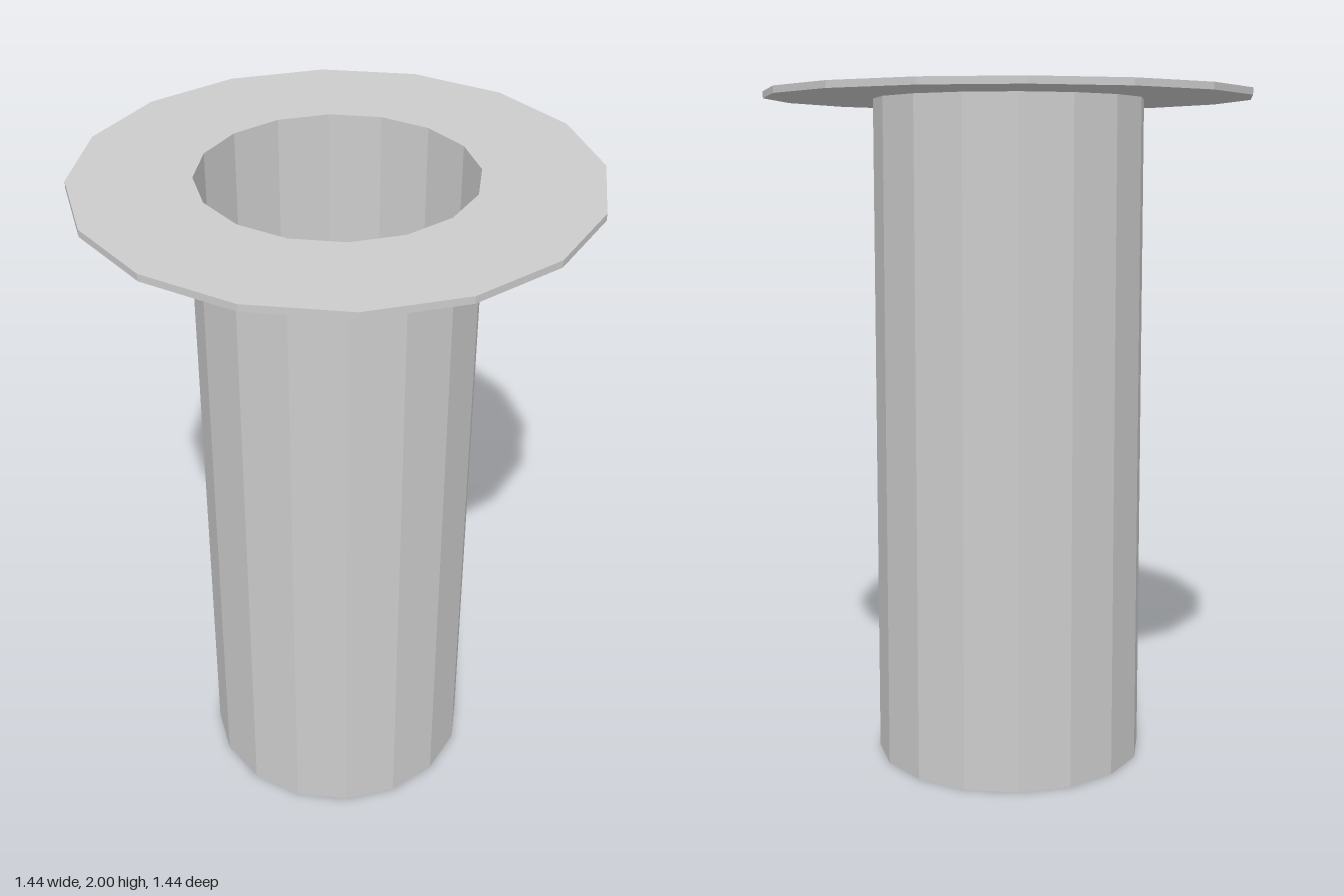
import * as THREE from 'three';

const SIDES = 16;
const BORE = 0.384;       // inner radius
const FLANGE_Y = 1.98;    // underside of the flange
const TOP = 2;

const material = new THREE.MeshStandardMaterial({ color: 0xcccccc, flatShading: true });

// Faceted ring turned from [radius, y] points, counter-clockwise in section
function turned(name, profile) {
  const points = profile.map(([r, y]) => new THREE.Vector2(r, y));
  const mesh = new THREE.Mesh(new THREE.LatheGeometry(points, SIDES), material);
  mesh.name = name;
  return mesh;
}

export function createModel() {
  const group = new THREE.Group();
  group.name = 'flangedSleeve';

  // Open tube: bore, bottom rim and slightly tapered outer wall
  group.add(turned('tube', [[BORE, FLANGE_Y], [BORE, 0], [0.404, 0], [0.399, FLANGE_Y]]));

  // Thin flange: underside, outer edge, top face and inner edge
  group.add(turned('flange', [[0.399, FLANGE_Y], [0.718, FLANGE_Y], [0.718, TOP], [BORE, TOP], [BORE, FLANGE_Y]]));

  return group;
}
